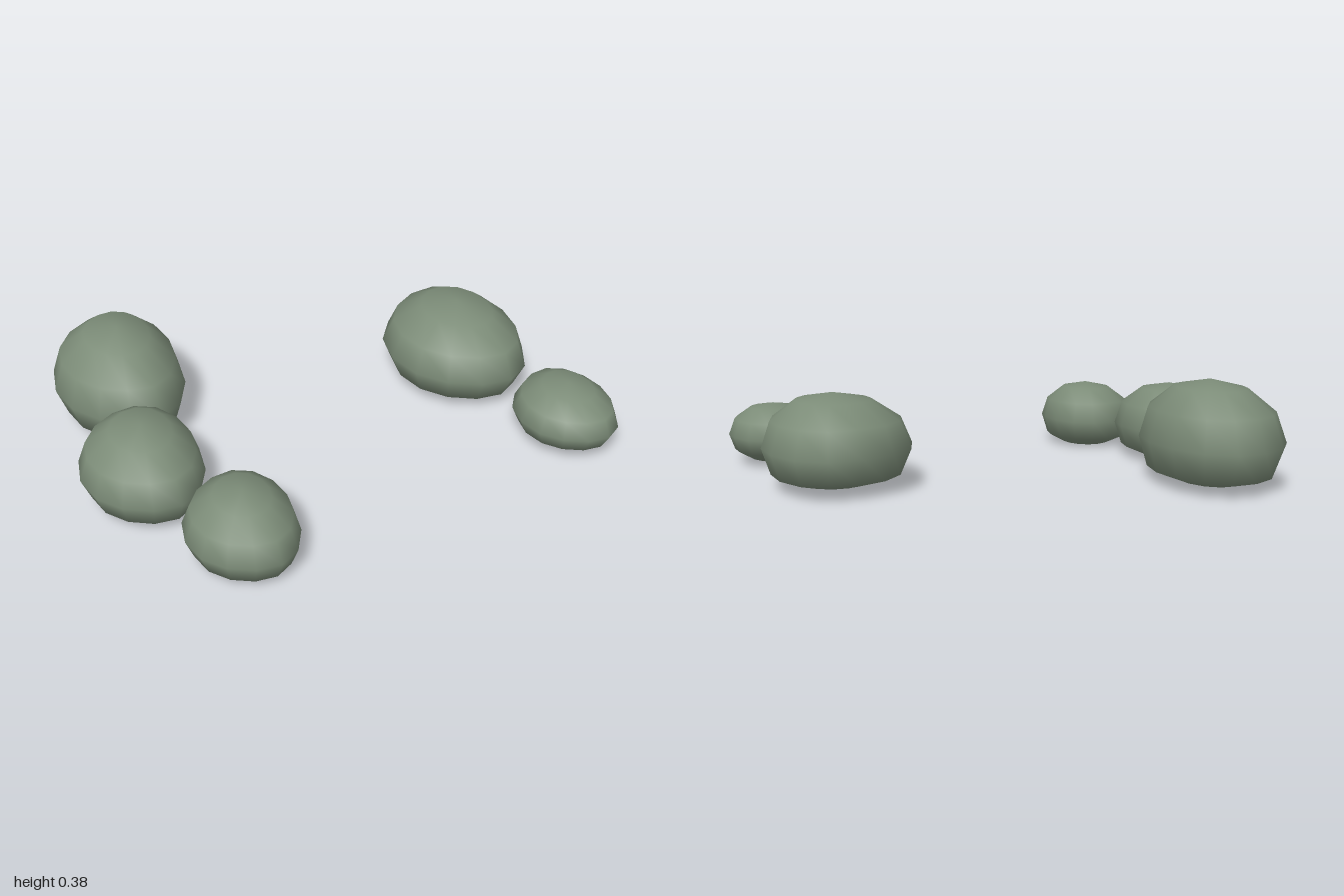
import * as THREE from 'three';
import { mergeVertices } from 'three/addons/utils/BufferGeometryUtils.js';

// Unit sphere, slightly lopsided, cut flat below, then stretched to size
function boulderGeometry(rx, ry, rz, cut) {
  let geo = new THREE.SphereGeometry(1, 14, 6);
  geo.deleteAttribute('uv');
  geo.deleteAttribute('normal');
  geo = mergeVertices(geo, 1e-4);
  const p = geo.attributes.position;
  for (let i = 0; i < p.count; i++) {
    const x = p.getX(i), y = p.getY(i), z = p.getZ(i);
    const bulge = 1 - x * x;
    p.setXYZ(
      i,
      (x + 0.06 * bulge) * rx,
      Math.max(y * ry, -cut),
      z * (1 + 0.12 * x * bulge) * rz
    );
  }
  geo.computeVertexNormals();
  return geo;
}

export function createModel() {
  const group = new THREE.Group();
  group.name = 'boulders';

  const stone = new THREE.MeshStandardMaterial({ color: 0x7c8c78 });
  stone.name = 'mossy stone';

  // name, centre x, y, z, radii x, y, z, floor height
  const boulders = [
    ['rightBackBoulder', -0.698, 0.16, -0.44, 0.25, 0.225, 0.342, 0.016],
    ['rightMiddleBoulder', -0.778, 0.13, 0.104, 0.222, 0.175, 0.277, 0.011],
    ['rightFrontBoulder', -0.568, 0.112, 0.542, 0.197, 0.154, 0.234, 0.0],
    ['leftBackBoulder', 0.635, 0.146, -0.115, 0.275, 0.195, 0.342, 0.018],
    ['leftFrontBoulder', 0.81, 0.112, 0.443, 0.189, 0.123, 0.225, 0.013],
  ];

  for (const [name, x, y, z, rx, ry, rz, floor] of boulders) {
    const mesh = new THREE.Mesh(boulderGeometry(rx, ry, rz, y - floor), stone);
    mesh.name = name;
    mesh.position.set(x, y, z);
    group.add(mesh);
  }
  return group;
}
